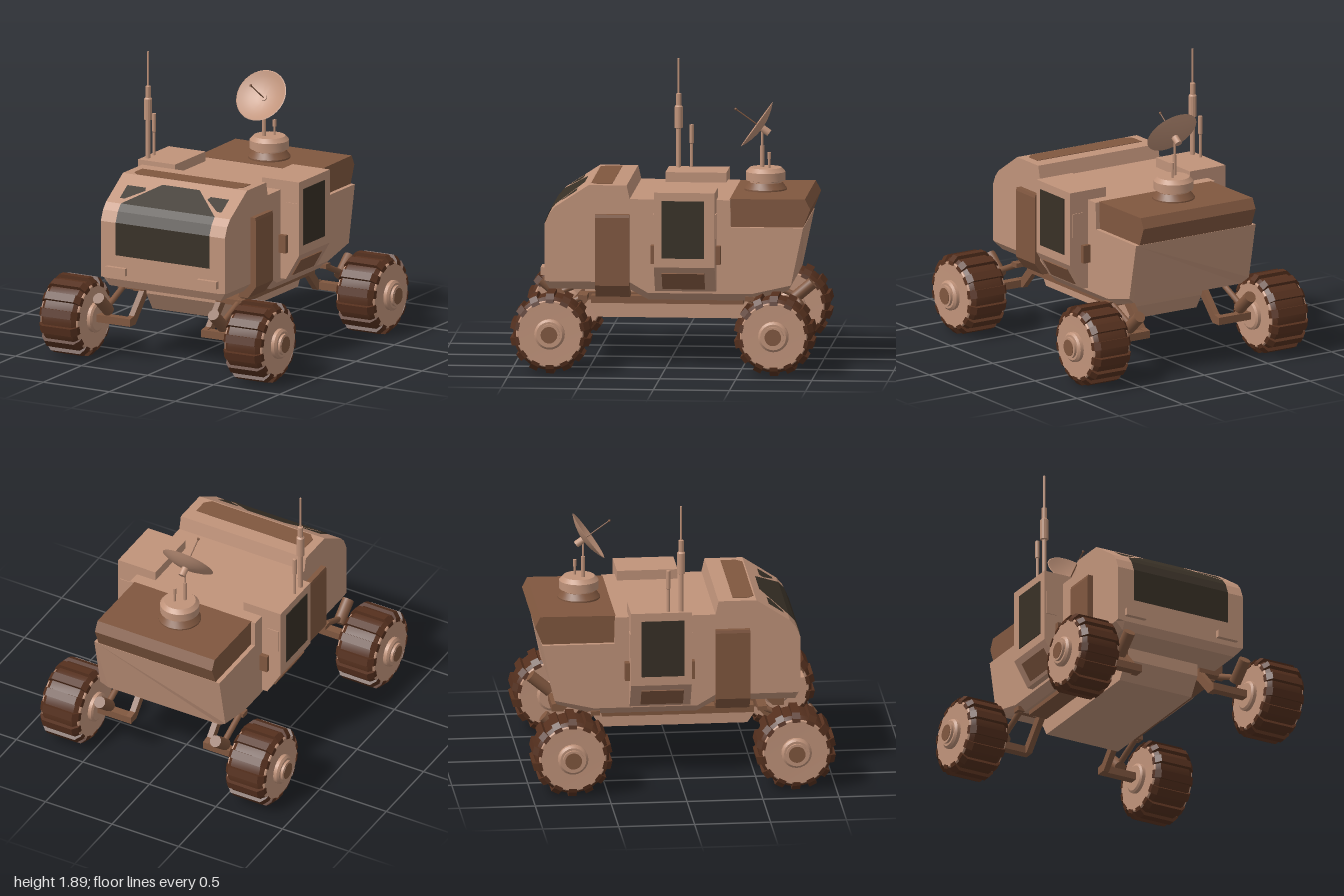
import * as THREE from 'three';
import { mergeGeometries, toCreasedNormals } from 'three/addons/utils/BufferGeometryUtils.js';

const mat = (name, color, side = THREE.FrontSide) => {
  const m = new THREE.MeshStandardMaterial({ color, side });
  m.name = name;
  return m;
};

export function createModel() {
  const model = new THREE.Group();
  model.name = 'rover';
  const tan = mat('tan', 0xc0937a, THREE.DoubleSide);
  const brown = mat('brown', 0x80573f);
  const rubber = mat('darkBrown', 0x55301e);
  const glass = mat('darkGlass', 0x383026, THREE.DoubleSide);

  const add = (name, geo, material, parent = model) => {
    const m = new THREE.Mesh(geo, material);
    m.name = name;
    parent.add(m);
    return m;
  };
  const box = (w, h, d, x, y, z) => new THREE.BoxGeometry(w, h, d).translate(x, y, z);
  const shapeOf = pts => new THREE.Shape(pts.map(p => new THREE.Vector2(p[0], p[1])));
  // (z, y) outline extruded from x0 to x1
  const alongX = (pts, x0, x1) =>
    new THREE.ExtrudeGeometry(shapeOf(pts), { depth: x1 - x0, bevelEnabled: false })
      .rotateY(-Math.PI / 2).translate(x1, 0, 0);
  // (x, y) outline extruded from z0 to z1, s mirrors it
  const alongZ = (pts, z0, z1, s = 1) =>
    new THREE.ExtrudeGeometry(shapeOf(pts.map(([x, y]) => [s * x, y])), { depth: z1 - z0, bevelEnabled: false })
      .translate(0, 0, z0);
  // turned part from (radius, height) points, edges kept sharp
  const turned = (pts, seg = 24) =>
    toCreasedNormals(new THREE.LatheGeometry(pts.map(p => new THREE.Vector2(p[0], p[1])), seg), 0.5);
  // cylinder between two points
  const rod = (a, b, r, seg = 12) => {
    const A = new THREE.Vector3(...a), B = new THREE.Vector3(...b), d = B.clone().sub(A);
    const q = new THREE.Quaternion().setFromUnitVectors(new THREE.Vector3(0, 1, 0), d.clone().normalize());
    const mid = A.add(B).multiplyScalar(0.5);
    return new THREE.CylinderGeometry(r, r, d.length(), seg).applyQuaternion(q).translate(mid.x, mid.y, mid.z);
  };
  const flat = tris => {
    const g = new THREE.BufferGeometry();
    g.setAttribute('position', new THREE.Float32BufferAttribute(tris.flat(), 3));
    g.computeVertexNormals();
    return g;
  };

  // Hull: stations of [zTop, top, zSide, bevel, zBottom, bottom] from front to back
  const W = 0.47, WB = 0.42;
  const rings = [
    [0.80, 0.94, 0.80, 0.565, 0.80, 0.56],
    [0.77, 1.01, 0.77, 0.56, 0.77, 0.505],
    [0.73, 1.055, 0.73, 0.56, 0.73, 0.505],
    [0.51, 1.20, 0.51, 0.56, 0.51, 0.505],
    [0.26, 1.20, 0.26, 0.56, 0.26, 0.505],
    [0.24, 1.11, 0.24, 0.56, 0.24, 0.505],
    [0.12, 1.11, 0.12, 0.49, 0.12, 0.44],
    [-0.42, 1.11, -0.42, 0.49, -0.42, 0.44],
    [-0.425, 0.93, -0.425, 0.49, -0.425, 0.44],
    [-0.56, 0.93, -0.56, 0.49, -0.56, 0.44],
    [-0.90, 0.93, -0.82, 0.55, -0.80, 0.51],
  ].map(([zt, t, zs, s, zb, b]) => [
    [W, t, zt], [-W, t, zt], [-W, s, zs], [-WB, b, zb], [WB, b, zb], [W, s, zs]]);
  const tris = [];
  for (let i = 0; i < rings.length - 1; i++) {
    const f = rings[i], r = rings[i + 1];
    for (let j = 0; j < 6; j++) {
      const k = (j + 1) % 6;
      tris.push(...f[j], ...r[j], ...f[k], ...f[k], ...r[j], ...r[k]);
    }
  }
  const first = rings[0], last = rings[rings.length - 1];
  for (let j = 1; j < 5; j++) {
    tris.push(...first[0], ...first[j], ...first[j + 1]);
    tris.push(...last[0], ...last[j + 1], ...last[j]);
  }
  add('hull', flat(tris), tan);

  // Rear cargo cover
  add('rearCover', alongX([[-0.415, 0.925], [-0.415, 1.113], [-0.91, 1.118], [-0.945, 1.05], [-0.895, 0.925]], -0.44, 0.44), brown);

  // Windscreen panes follow the nose profile; rows are [y, xLeft, xRight]
  const nose = [[0.5, 0.80], [0.94, 0.80], [1.01, 0.77], [1.055, 0.73], [1.20, 0.51]];
  const noseZ = y => {
    const i = nose.findIndex((p, n) => n > 0 && y <= p[0]);
    const [a, b] = [nose[i - 1], nose[i]];
    return a[1] + (b[1] - a[1]) * (y - a[0]) / (b[0] - a[0]);
  };
  const pane = rows => {
    const t = [];
    for (let i = 0; i < rows.length - 1; i++) {
      const [a, b, d, c] = [rows[i], rows[i + 1]].flatMap(([y, l, r]) => [l, r].map(x => [x, y + 0.003, noseZ(y) + 0.005]));
      t.push(...a, ...b, ...c, ...a, ...c, ...d);
    }
    return flat(t);
  };
  add('windscreen', pane([[0.72, -0.355, 0.355], [0.94, -0.355, 0.355], [1.01, -0.355, 0.355],
    [1.055, -0.355, 0.355], [1.17, -0.14, 0.14]]), glass);

  // Roof strip
  const strip = alongZ([[-0.41, -0.36], [0.41, -0.36], [0.41, -0.46], [0.37, -0.50], [-0.37, -0.50], [-0.41, -0.46]], 0, 0.006);
  add('roofStrip', strip.rotateX(-Math.PI / 2).translate(0, 1.197, 0), brown);

  // Belly and chassis frame
  add('belly', alongX([[0.55, 0.51], [0.55, 0.42], [0.51, 0.36], [0.47, 0.30], [-0.50, 0.30], [-0.56, 0.40], [-0.58, 0.47]], -0.27, 0.27), tan);
  add('frame', box(0.8, 0.05, 1.0, 0, 0.435, 0), brown);

  // Parts repeated on both sides
  for (const s of [1, -1]) {
    const corner = [[1.08, 0.35, 0.385], [1.13, 0.235, 0.385], [1.145, 0.245, 0.385]];
    add('cornerWindow', pane(corner.map(([y, l, r]) => s > 0 ? [y, l, r] : [y, -r, -l])), glass);
    add('headlight', box(0.15, 0.05, 0.04, s * 0.345, 0.62, 0.81), tan);
    add('sidePanel', alongZ([[0.42, 1.01], [0.505, 1.01], [0.51, 0.99], [0.51, 0.54], [0.45, 0.46], [0.38, 0.46]], 0.24, 0.465, s), brown);

    // Door pod
    add('doorPod', alongZ([[0.33, 1.175], [0.61, 1.175], [0.61, 0.68], [0.51, 0.51], [0.40, 0.51], [0.33, 1.05]], -0.33, 0.07, s), tan);
    add('doorWindow', box(0.008, 0.38, 0.28, s * 0.611, 0.93, -0.12), glass);
    add('doorStep', alongZ([[0.587, 0.64], [0.594, 0.636], [0.529, 0.526], [0.522, 0.53]], -0.26, 0.02, s), brown);
    for (const z of [0.085, -0.345]) {
      add('hinge', box(0.07, 0.12, 0.03, s * 0.49, 0.75, z), brown);
    }
    for (const z of [0.07, -0.33]) {
      add('handlePlate', box(0.08, 0.16, 0.012, s * 0.555, 0.95, z), tan);
    }

    // Suspension arm running to both axles
    add('suspensionArm', alongX([[0.76, 0.24], [0.76, 0.29], [0.71, 0.30], [0.55, 0.47], [-0.55, 0.47], [-0.71, 0.30],
      [-0.76, 0.29], [-0.76, 0.24], [-0.69, 0.24], [-0.52, 0.42], [0.52, 0.42], [0.69, 0.24]], s * 0.29 - 0.02, s * 0.29 + 0.02), brown);
    for (const e of [1, -1]) {
      add('axle', box(0.28, 0.05, 0.06, s * 0.41, 0.265, e * 0.735), brown);
      add('damper', rod([s * 0.435, 0.33, e * 0.76], [s * 0.435, 0.44, e * 0.89], 0.04), brown);
      add('damperBracket', box(0.2, 0.03, 0.06, s * 0.37, 0.455, e * 0.55), brown);
      add('damperLink', rod([s * 0.435, 0.455, e * 0.55], [s * 0.435, 0.35, e * 0.79], 0.02), brown);
    }
  }

  // Wheels: lathed parts have their axis turned onto x
  const onAxle = g => g.rotateZ(-Math.PI / 2);
  const tyreGeo = onAxle(turned([[0.15, -0.13], [0.215, -0.14], [0.243, -0.105], [0.243, 0.105], [0.215, 0.14], [0.15, 0.13]], 32));
  const discGeo = onAxle(turned([[0, -0.14], [0.215, -0.143], [0.222, -0.135], [0.222, 0.135], [0.215, 0.143], [0, 0.14]], 32));
  const hubGeo = onAxle(turned([[0, -0.175], [0.085, -0.175], [0.1, -0.165], [0.1, 0.165], [0.085, 0.178], [0.07, 0.178], [0.07, 0.195], [0, 0.195]]));
  const lugs = [];
  for (let i = 0; i < 14; i++) {
    lugs.push(alongZ([[-0.148, 0.205], [0.148, 0.205], [0.142, 0.23], [0.11, 0.264], [-0.11, 0.264], [-0.142, 0.23]], -0.027, 0.027)
      .rotateX(i / 14 * Math.PI * 2));
  }
  const treadGeo = mergeGeometries(lugs);
  for (const s of [1, -1]) for (const e of [1, -1]) {
    const wheel = new THREE.Group();
    wheel.name = 'wheel';
    wheel.position.set(s * 0.697, 0.264, e * 0.736);
    wheel.rotation.y = s > 0 ? 0 : Math.PI;
    add('tyre', tyreGeo, rubber, wheel);
    add('tread', treadGeo, rubber, wheel);
    add('wheelDisc', discGeo, tan, wheel);
    add('hub', hubGeo, tan, wheel);
    add('hubCap', rod([0.15, 0, 0], [0.198, 0, 0], 0.055, 20), brown, wheel);
    model.add(wheel);
  }

  // Dish turret
  const turret = new THREE.Group();
  turret.name = 'dishTurret';
  turret.position.set(-0.013, 0, -0.615);
  add('turretSkirt', turned([[0.14, 1.11], [0.14, 1.125], [0.11, 1.165], [0, 1.165]]), brown, turret);
  add('turretBase', turned([[0.105, 1.16], [0.105, 1.175], [0.13, 1.18], [0.13, 1.235], [0.105, 1.262], [0, 1.262]]), tan, turret);
  add('dishPost', rod([-0.025, 1.25, 0.025], [-0.025, 1.40, 0.025], 0.014), tan, turret);
  add('dishNeck', rod([-0.025, 1.40, 0.025], [-0.025, 1.50, 0.025], 0.008), tan, turret);
  add('sensorPost', rod([0.025, 1.25, -0.025], [0.025, 1.33, -0.025], 0.008), tan, turret);
  add('sensorHead', rod([0.025, 1.32, -0.025], [0.025, 1.365, -0.025], 0.012), tan, turret);
  model.add(turret);

  // Dish, built facing +y then tipped forward
  const dish = new THREE.Group();
  dish.name = 'dish';
  dish.position.set(-0.04, 1.542, -0.555);
  dish.rotation.x = Math.atan2(0.295, 0.21);
  const bowl = [0, 0.05, 0.1, 0.145, 0.18].map(r => [r, 0.045 * ((r / 0.18) ** 2 - 1)]);
  add('dishBowl', turned([...bowl, [0.174, 0.002]], 32), tan, dish);
  add('dishMount', rod([0, -0.10, 0], [0, -0.035, 0], 0.024), tan, dish);
  add('feedRod', rod([0, -0.04, 0], [0, 0.17, 0], 0.004, 8), brown, dish);
  add('feedTip', new THREE.SphereGeometry(0.009, 10, 8).translate(0, 0.17, 0), brown, dish);
  model.add(dish);

  // Whip antennas on the right pod
  const mast = add('tallAntenna', turned([[0.016, 1.17], [0.016, 1.43], [0.027, 1.435], [0.027, 1.575], [0.018, 1.585],
    [0.018, 1.66], [0.007, 1.665], [0.007, 1.895], [0, 1.895]], 12), tan);
  mast.position.set(-0.573, 0, 0.003);
  const stub = add('shortAntenna', turned([[0.01, 1.17], [0.01, 1.33], [0.014, 1.335], [0.014, 1.455], [0, 1.46]], 12), tan);
  stub.position.set(-0.577, 0, -0.082);

  return model;
}
